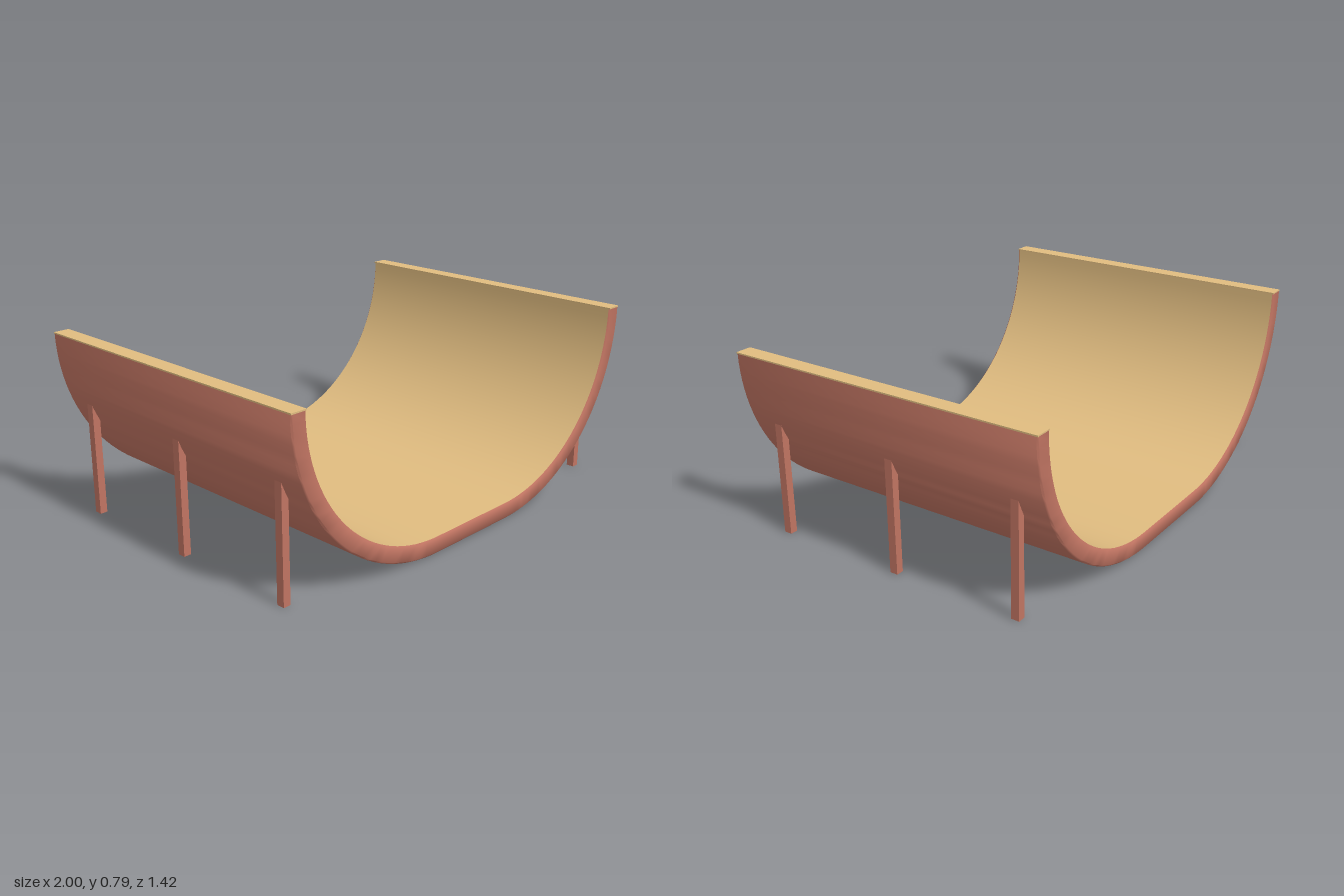
import * as THREE from 'three';
import { toCreasedNormals } from 'three/addons/utils/BufferGeometryUtils.js';

const RADIUS = 0.78, FLAT = 0.22, THICK = 0.07, HALF = 0.71, STEPS = 32, BEVEL = 0.006;

// Stations along the outer U curve, from the +x rim to the -x rim, with inward normals
function stations() {
  const list = [];
  for (const side of [1, -1]) {
    for (let i = 0; i <= STEPS; i++) {
      const t = (side > 0 ? i : STEPS - i) / STEPS * Math.PI / 2;
      const nx = -side * Math.cos(t), ny = Math.sin(t);
      list.push({ x: side * FLAT - nx * RADIUS, y: RADIUS - ny * RADIUS, nx, ny });
    }
  }
  return list;
}

// Sweep a profile of [depth from outer face, z] along the U curve
function sweep(profile) {
  const path = stations(), n = profile.length, positions = [], index = [];
  path.forEach((s, i) => {
    profile.forEach(([d, z], j) => {
      positions.push(s.x + s.nx * d, s.y + s.ny * d, z);
      if (i < path.length - 1 && j < n - 1) {
        const a = i * n + j, b = a + n;
        index.push(a, b, b + 1, a, b + 1, a + 1);
      }
    });
  });
  const geometry = new THREE.BufferGeometry();
  geometry.setAttribute('position', new THREE.Float32BufferAttribute(positions, 3));
  geometry.setIndex(index);
  return toCreasedNormals(geometry, 0.9);
}

export function createModel() {
  const group = new THREE.Group();
  const red = new THREE.MeshStandardMaterial({ color: 0xc07462 });
  const tan = new THREE.MeshStandardMaterial({ color: 0xe0bc80 });

  const add = (name, geometry, material, x = 0, y = 0, z = 0) => {
    const mesh = new THREE.Mesh(geometry, material);
    mesh.name = name;
    mesh.position.set(x, y, z);
    group.add(mesh);
  };

  // Outer shell with softened edges, including both end faces
  const edge = HALF - BEVEL;
  add('outerShell', sweep([
    [THICK, edge], [THICK - BEVEL, HALF], [BEVEL, HALF], [0, edge],
    [0, -edge], [BEVEL, -HALF], [THICK - BEVEL, -HALF], [THICK, -edge],
  ]), red);

  // Riding surface
  add('ridingSurface', sweep([[THICK, -edge], [THICK, edge]]), tan);

  // Rim strips and support posts on both sides
  const rim = new THREE.BoxGeometry(THICK, 0.006, HALF * 2);
  const post = new THREE.BoxGeometry(0.033, 0.5, 0.035);
  for (const side of [1, -1]) {
    add('rimStrip', rim, tan, side * (FLAT + RADIUS - THICK / 2), RADIUS + 0.002, 0);
    for (const z of [-0.575, 0, 0.575]) add('supportPost', post, red, side * 0.927, 0.25, z);
  }
  return group;
}
